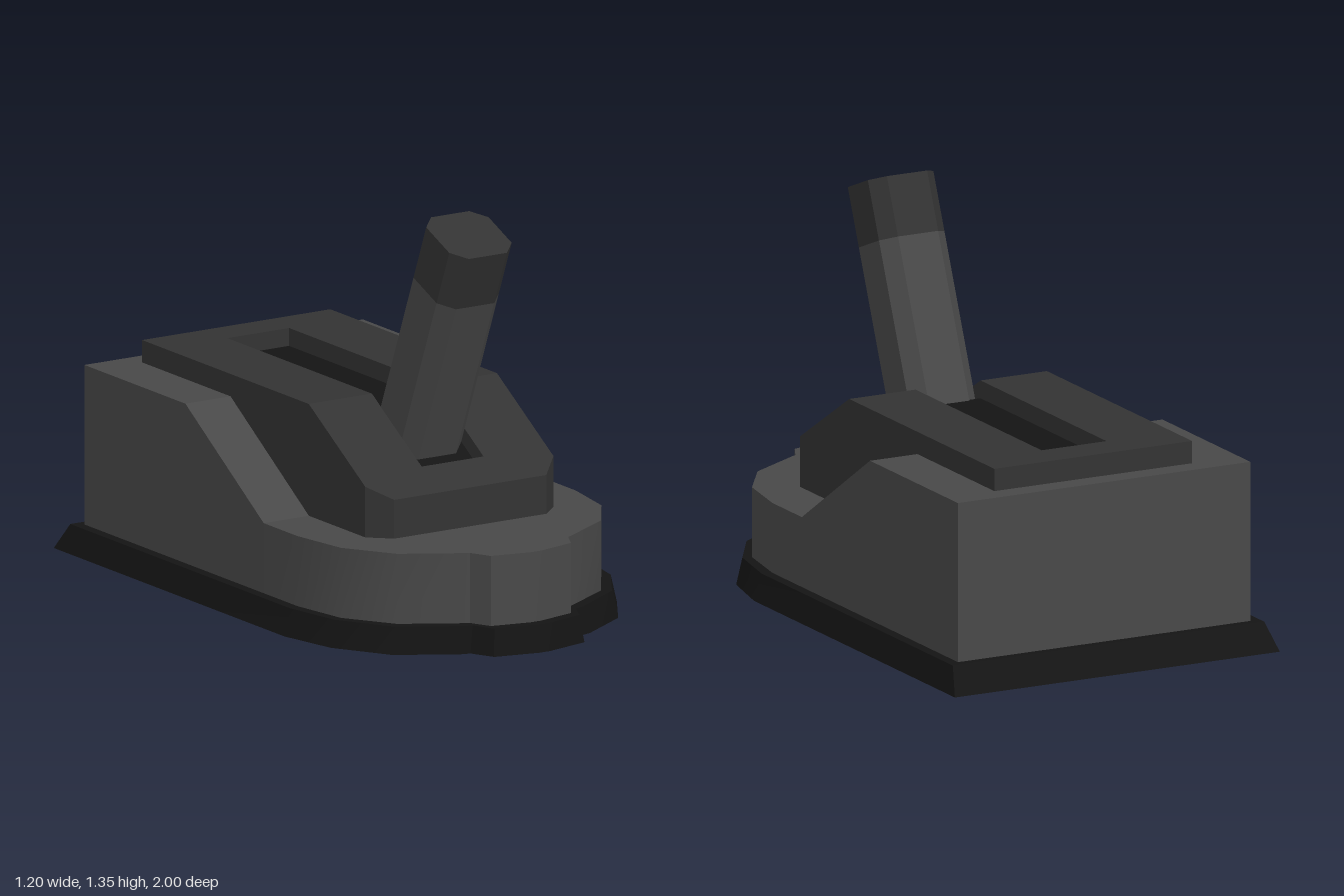
import * as THREE from 'three';
import { toCreasedNormals } from 'three/addons/utils/BufferGeometryUtils.js';

// Two triangles for the corners a, b, c, d (counter-clockwise from outside)
const quad = (out, a, b, c, d) => out.push(...a, ...b, ...c, ...a, ...c, ...d);

function makeMesh(name, positions, color, side = THREE.FrontSide) {
  const geometry = new THREE.BufferGeometry();
  geometry.setAttribute('position', new THREE.Float32BufferAttribute(positions, 3));
  const mesh = new THREE.Mesh(
    toCreasedNormals(geometry, 0.5),
    new THREE.MeshStandardMaterial({ color, side })
  );
  mesh.name = name;
  return mesh;
}

const flip = ([x, y, z]) => [-x, y, z];
const at = (p, x) => [x, p[1], p[2]];

// Symmetric solid from right-hand edge points listed back to front.
// With a slot, the middle of the top is left open between two z values.
function loft(bottom, top, slot) {
  const out = [];
  const ring = (rows) => [...rows, ...rows.map(flip).reverse()];
  const b = ring(bottom), t = ring(top);
  b.forEach((_, i) => {
    const j = (i + 1) % b.length;
    quad(out, b[j], b[i], t[i], t[j]);
  });
  for (let i = 0; i < top.length - 1; i++) {
    const p = top[i], q = top[i + 1];
    quad(out, flip(bottom[i]), bottom[i], bottom[i + 1], flip(bottom[i + 1]));
    if (slot && p[2] >= slot.back && q[2] <= slot.front) {
      quad(out, flip(p), flip(q), at(q, -slot.x), at(p, -slot.x));
      quad(out, at(p, slot.x), at(q, slot.x), q, p);
    } else {
      quad(out, flip(p), flip(q), q, p);
    }
  }
  return out;
}

const lerp = THREE.MathUtils.mapLinear;
const bodyTop = (z) => THREE.MathUtils.clamp(lerp(z, -0.31, 0.155, 0.625, 0.325), 0.325, 0.625);
const deckTop = (z) => Math.min(0.7, lerp(z, 0.155, 0.555, 0.7, 0.455));

export function createModel() {
  const group = new THREE.Group();

  // Flared skirt at the floor
  const skirtLow = [[0.6, -1], [0.6, 0.37], [0.555, 0.575], [0.44, 0.76],
    [0.255, 0.875], [0.215, 0.885], [0.175, 0.965], [0.02, 1]];
  const skirtHigh = [[0.575, -0.94], [0.575, 0.365], [0.535, 0.57], [0.425, 0.745],
    [0.235, 0.865], [0.2, 0.875], [0.165, 0.95], [0.02, 0.985]];
  group.add(makeMesh('skirt', loft(
    skirtLow.map(([x, z]) => [x, 0, z]),
    skirtHigh.map(([x, z]) => [x, 0.09, z])
  ), 0x141414));

  // Body with a low nose, a ramp and a high rear
  const bodyPlan = [[0.54, -0.91], [0.54, -0.31], [0.54, 0.155], [0.54, 0.355], [0.505, 0.56],
    [0.395, 0.725], [0.21, 0.835], [0.19, 0.845], [0.155, 0.915], [0.02, 0.945]];
  group.add(makeMesh('body', loft(
    bodyPlan.map(([x, z]) => [x, 0.085, z]),
    bodyPlan.map(([x, z]) => [x, bodyTop(z), z])
  ), 0x484848));

  // Raised deck with a slot along its middle
  const slot = { x: 0.12, back: -0.705, front: 0.45, depth: 0.06 };
  const deckPlan = [[0.365, -0.835], [0.365, slot.back], [0.365, 0.155],
    [0.365, slot.front], [0.365, 0.49], [0.295, 0.555]];
  group.add(makeMesh('deck', loft(
    deckPlan.map(([x, z]) => [x, 0.315, z]),
    deckPlan.map(([x, z]) => [x, deckTop(z), z]),
    slot
  ), 0x333333));

  // Slot floor and walls
  const floor = [], walls = [];
  const zs = [slot.back, 0.155, slot.front];
  const lip = (x, z) => [x, deckTop(z), z];
  const low = (x, z) => [x, deckTop(z) - slot.depth, z];
  const s = slot.x;
  for (let i = 0; i < 2; i++) {
    const [z0, z1] = [zs[i], zs[i + 1]];
    quad(floor, low(-s, z0), low(-s, z1), low(s, z1), low(s, z0));
    quad(walls, low(s, z0), low(s, z1), lip(s, z1), lip(s, z0));
    quad(walls, low(-s, z1), low(-s, z0), lip(-s, z0), lip(-s, z1));
  }
  quad(walls, low(-s, zs[0]), low(s, zs[0]), lip(s, zs[0]), lip(-s, zs[0]));
  quad(walls, low(s, zs[2]), low(-s, zs[2]), lip(-s, zs[2]), lip(s, zs[2]));
  group.add(makeMesh('slotFloor', floor, 0x141414));
  group.add(makeMesh('slotWalls', walls, 0x333333, THREE.DoubleSide));

  // Eight-sided lever leaning forward, with a darker tip
  const r = 0.121, f = 0.074;
  const section = new THREE.Shape([[r, f], [f, r], [-f, r], [-r, f],
    [-r, -f], [-f, -r], [f, -r], [r, -f]].map(([x, y]) => new THREE.Vector2(x, y)));
  const lever = new THREE.Group();
  lever.name = 'lever';
  for (const [name, start, length, color] of [
    ['leverShaft', -0.85, 0.65, 0x484848],
    ['leverTip', -0.2, 0.2, 0x333333],
  ]) {
    const geometry = new THREE.ExtrudeGeometry(section, { depth: length, bevelEnabled: false });
    geometry.rotateX(-Math.PI / 2).translate(0, start, 0);
    const mesh = new THREE.Mesh(geometry, new THREE.MeshStandardMaterial({ color }));
    mesh.name = name;
    lever.add(mesh);
  }
  lever.position.set(0, 1.3, 0.547);
  lever.rotation.x = 0.388;
  group.add(lever);

  return group;
}
